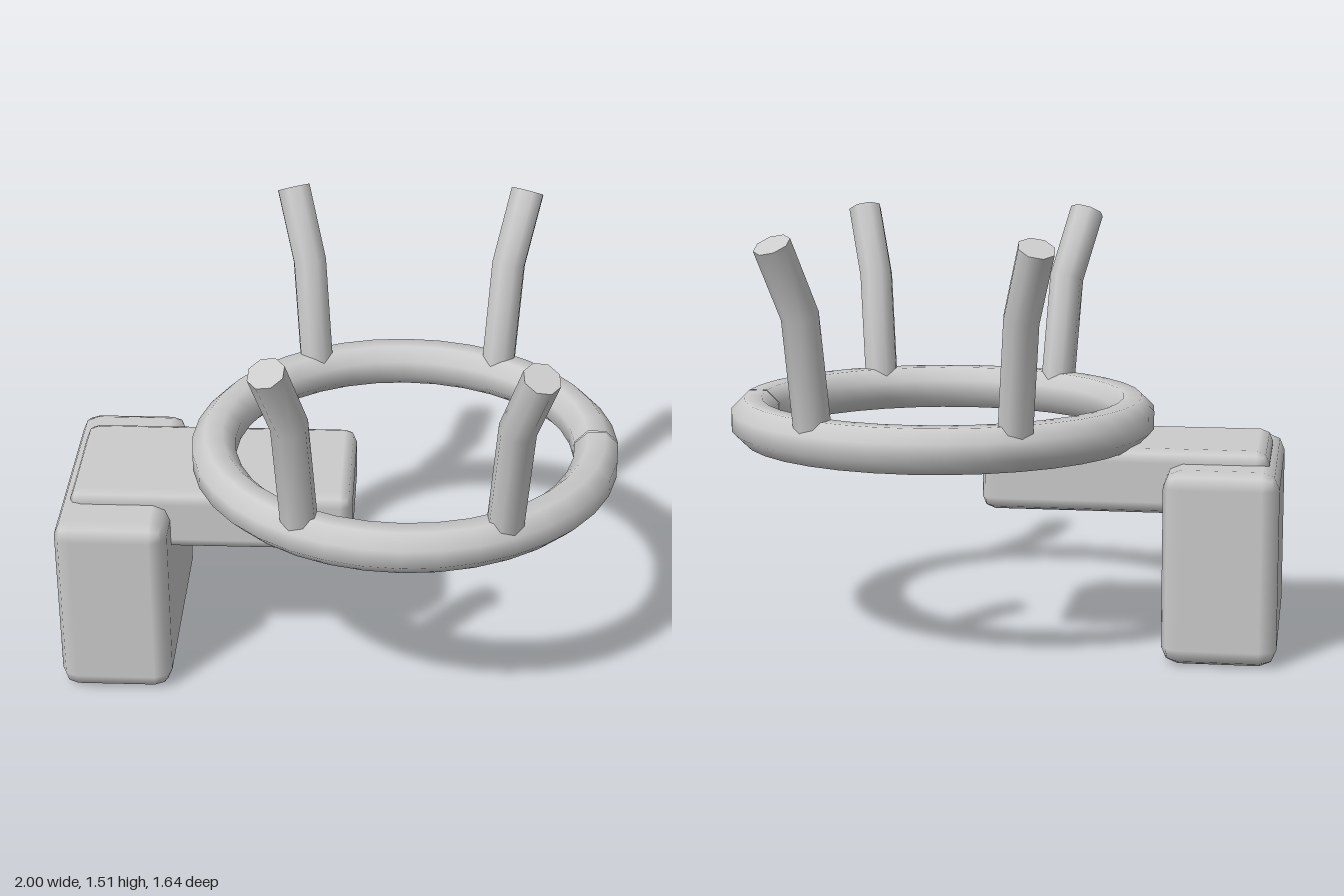
import * as THREE from 'three';
import { mergeVertices, toCreasedNormals } from 'three/addons/utils/BufferGeometryUtils.js';
import { RoundedBoxGeometry } from 'three/addons/geometries/RoundedBoxGeometry.js';

const material = new THREE.MeshStandardMaterial({ color: 0xcccccc });
const openMaterial = new THREE.MeshStandardMaterial({ color: 0xcccccc, side: THREE.DoubleSide });

// Bevelled block given by its lower and upper corners
function block(name, lo, hi, bevel) {
  const size = hi.map((v, i) => v - lo[i]);
  const mesh = new THREE.Mesh(new RoundedBoxGeometry(...size, 1, bevel), material);
  mesh.name = name;
  mesh.position.set(...hi.map((v, i) => (v + lo[i]) / 2));
  return mesh;
}

// Octagonal tube swept round the y axis, with a hairline split at +x
function ringGeometry(radius, tube) {
  const profile = [];
  for (let i = 0; i <= 8; i++) {
    const a = (i - 0.5) * Math.PI / 4;
    profile.push(new THREE.Vector2(radius + tube * Math.cos(a), tube * Math.sin(a)));
  }
  const gap = 0.012;
  const geo = new THREE.LatheGeometry(profile, 36, Math.PI / 2 + gap, Math.PI * 2 - gap);
  geo.deleteAttribute('uv');
  geo.deleteAttribute('normal');
  const merged = mergeVertices(geo);
  merged.computeVertexNormals();
  return merged;
}

// Octagonal rod bent once, leaning outward along +x
function prongGeometry(radius) {
  const rows = [
    { x: 0.69, y: 0.785, tilt: 0.13 },
    { x: 0.75, y: 1.23, tilt: 0.31 },
    { x: 0.88, y: 1.478, tilt: 0.48 },
  ];
  const geo = new THREE.CylinderGeometry(radius, radius, 2, 8, 2);
  const pos = geo.attributes.position;
  for (let i = 0; i < pos.count; i++) {
    const row = rows[Math.round(pos.getY(i)) + 1];
    const x = pos.getX(i);
    pos.setX(i, row.x + x * Math.cos(row.tilt));
    pos.setY(i, row.y - x * Math.sin(row.tilt));
  }
  return toCreasedNormals(geo, 1);
}

export function createModel() {
  const model = new THREE.Group();
  model.name = 'ringHolder';

  // Mounting block and the arm that carries the ring
  model.add(block('mountBlock', [-1, 0, -0.44], [-0.6, 0.685, 0.44], 0.06));
  model.add(block('arm', [-0.96, 0.5, -0.27], [0.05, 0.73, 0.27], 0.045));

  // Ring
  const centreX = 0.23;
  const ring = new THREE.Mesh(ringGeometry(0.69, 0.085), openMaterial);
  ring.name = 'ring';
  ring.position.set(centreX, 0.79, 0);
  model.add(ring);

  // Four prongs standing on the ring
  const prongGeo = prongGeometry(0.065);
  const angles = { frontLeft: -60, frontRight: -120, backLeft: 60, backRight: 120 };
  for (const [corner, degrees] of Object.entries(angles)) {
    const prong = new THREE.Mesh(prongGeo, material);
    prong.name = corner + 'Prong';
    prong.position.x = centreX;
    prong.rotation.y = THREE.MathUtils.degToRad(degrees);
    model.add(prong);
  }
  return model;
}
